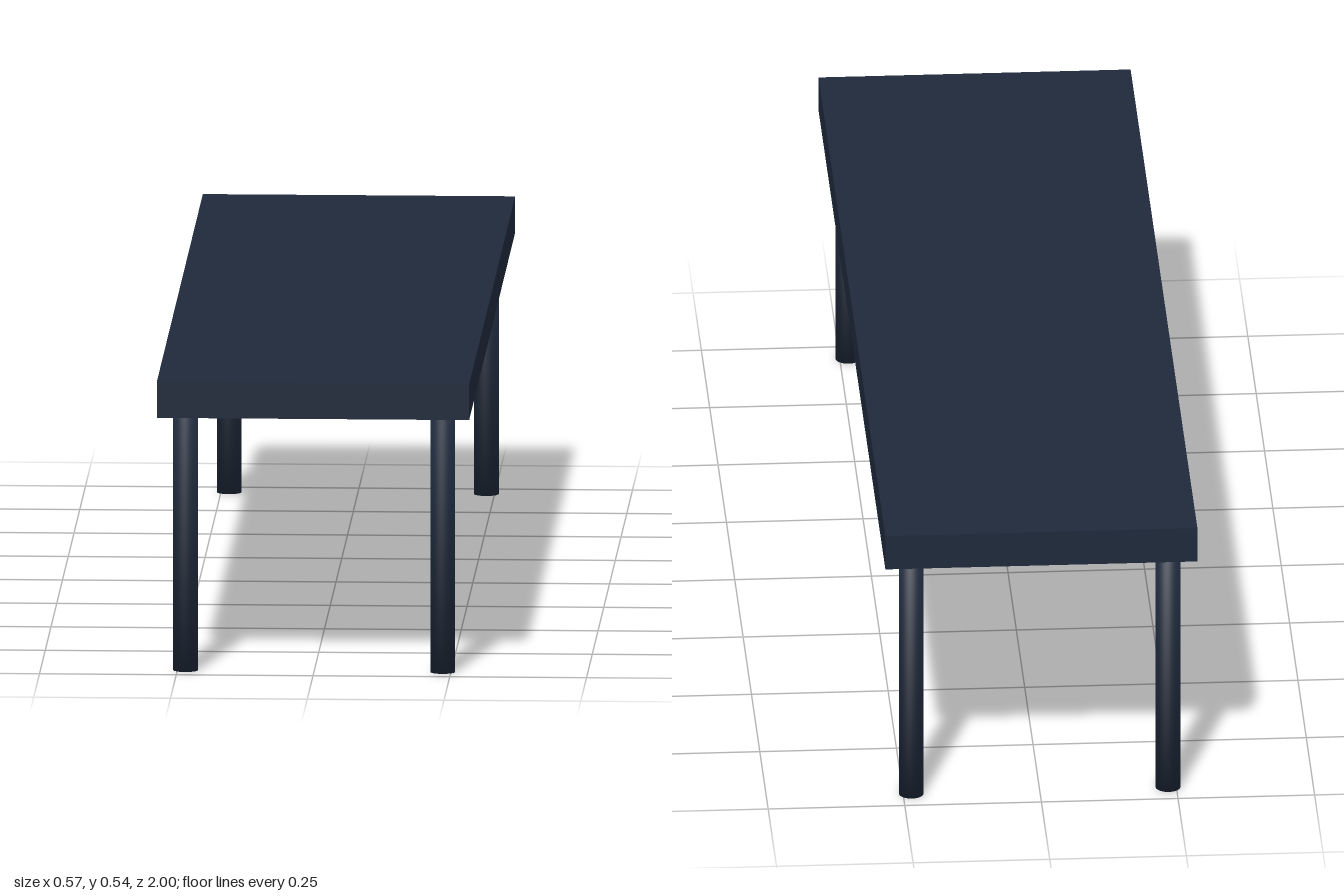
import * as THREE from 'three';

const HEIGHT = 0.543, SLAB = 0.067, WIDTH = 0.571, LENGTH = 2;
const LEG_R = 0.0227, LEG_X = 0.235, LEG_Z = 0.948;

// Round leg whose shading blends from the sides into the end caps
function legGeometry(height) {
  const geometry = new THREE.CylinderGeometry(LEG_R, LEG_R, height, 32);
  const { position, normal } = geometry.attributes;
  const n = new THREE.Vector3();
  for (let i = 0; i < position.count; i++) {
    const x = position.getX(i), y = position.getY(i), z = position.getZ(i);
    n.set(x / LEG_R, Math.sign(y), z / LEG_R).normalize();
    normal.setXYZ(i, n.x, n.y, n.z);
  }
  return geometry;
}

export function createModel() {
  const model = new THREE.Group();
  model.name = 'table';
  const navy = new THREE.MeshStandardMaterial({ color: 0x1e293b });
  navy.name = 'dark navy';

  // Thick rectangular slab
  const top = new THREE.Mesh(new THREE.BoxGeometry(WIDTH, SLAB, LENGTH), navy);
  top.name = 'tableTop';
  top.position.y = HEIGHT - SLAB / 2;
  model.add(top);

  // Four legs set in from the corners
  const legHeight = HEIGHT - SLAB;
  const geometry = legGeometry(legHeight);
  for (const sx of [-1, 1]) {
    for (const sz of [-1, 1]) {
      const leg = new THREE.Mesh(geometry, navy);
      leg.name = (sz > 0 ? 'front' : 'back') + (sx > 0 ? 'Left' : 'Right') + 'Leg';
      leg.position.set(sx * LEG_X, legHeight / 2, sz * LEG_Z);
      model.add(leg);
    }
  }
  return model;
}
